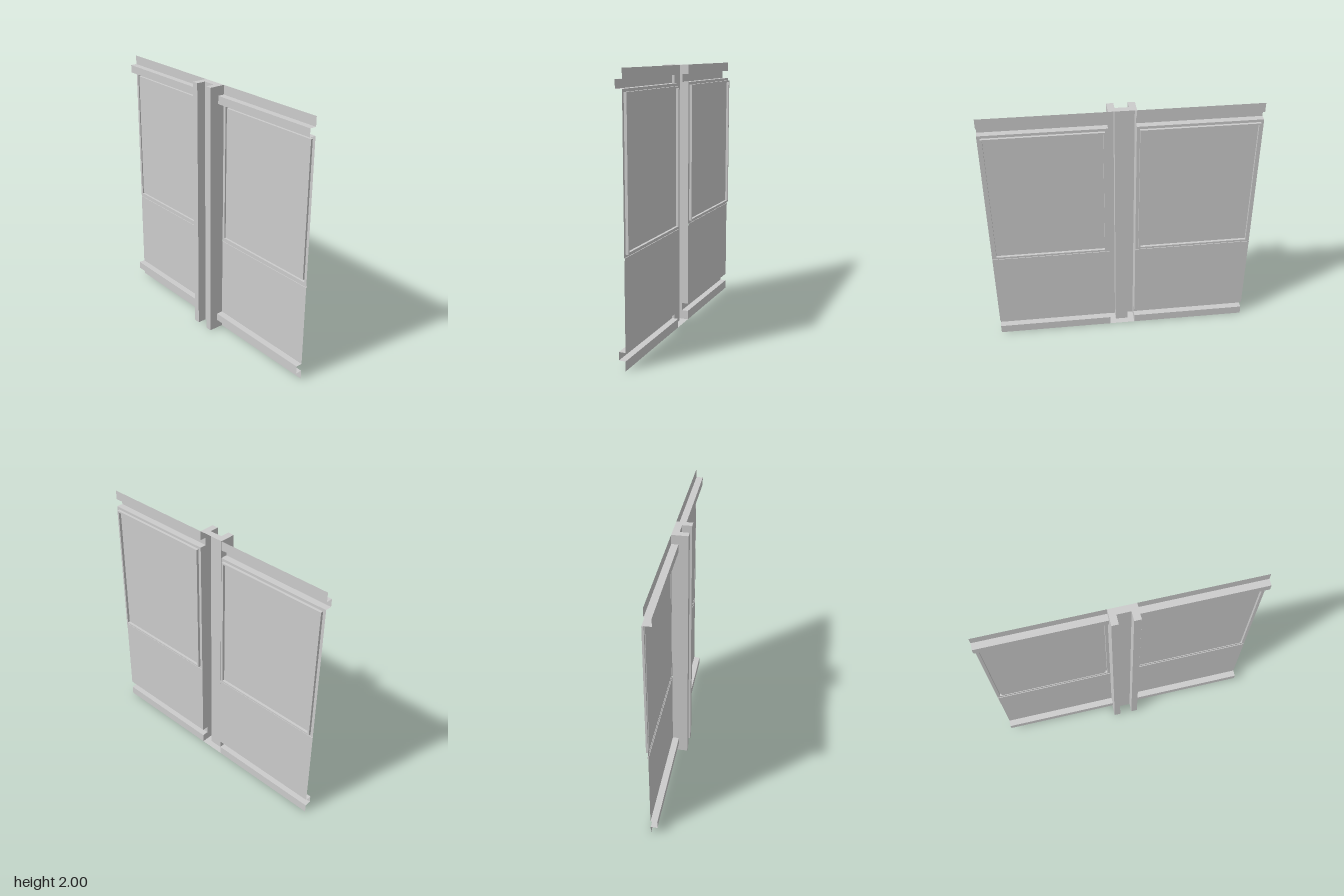
import * as THREE from 'three';

const H = 2, FACE = 0.05, RAIL = 0, BACK = -0.07, FRAME = 0.07;
const material = new THREE.MeshStandardMaterial({ color: 0xcccccc, side: THREE.DoubleSide });

function add(group, name, geometry) {
  const mesh = new THREE.Mesh(geometry, material);
  mesh.name = name;
  group.add(mesh);
}

// Folded thin sheet: a polyline swept straight from one end to the other
function foldedSheet(line, toStart, toEnd) {
  const pos = [];
  for (let i = 0; i < line.length - 1; i++) {
    const a = toStart(line[i]), b = toEnd(line[i]);
    const c = toEnd(line[i + 1]), d = toStart(line[i + 1]);
    pos.push(...a, ...b, ...c, ...a, ...c, ...d);
  }
  const g = new THREE.BufferGeometry();
  g.setAttribute('position', new THREE.Float32BufferAttribute(pos, 3));
  g.computeVertexNormals();
  return g;
}

const shapeOf = (points) => new THREE.Shape(points.map(([x, y]) => new THREE.Vector2(x, y)));
const rect = ([u0, v0, u1, v1]) => [[u0, v0], [u1, v0], [u1, v1], [u0, v1]];

// Flat sheet facing +x, drawn in (u = -z, v = y), with an optional opening
function flatSheet(x, outer, opening) {
  const shape = shapeOf(rect(outer));
  if (opening) shape.holes.push(shapeOf(rect(opening)));
  return new THREE.ShapeGeometry(shape).rotateY(Math.PI / 2).translate(x, 0, 0);
}

// Walls around a rectangle, running between two depths
function rimWalls(r, x0, x1) {
  const loop = rect(r);
  loop.push(loop[0]);
  return foldedSheet(loop, ([u, v]) => [x0, v, -u], ([u, v]) => [x1, v, -u]);
}

// One pressed panel between u0 and u1
function createPanel(name, u0, u1) {
  const panel = new THREE.Group();
  panel.name = name;
  const sweep = (line) => foldedSheet(line, ([x, y]) => [x, y, -u0], ([x, y]) => [x, y, -u1]);

  // Top and bottom channels pressed towards the back
  add(panel, 'topRail', sweep([[FACE, H], [FACE, 1.93], [RAIL, 1.93], [RAIL, 1.87], [FACE, 1.87]]));
  add(panel, 'bottomRail', sweep([[FACE, 0.13], [RAIL, 0.13], [RAIL, 0.07], [FACE, 0.07], [FACE, 0]]));

  // Lower sheet with the thin bead across its top
  add(panel, 'lowerSheet', sweep([[FACE, 0.78], [0.055, 0.78], [0.055, 0.765], [FACE, 0.765], [FACE, 0.13]]));

  // Upper sheet with a hollow raised frame
  const outer = [u0 + 0.022, 0.8, u1 - 0.022, 1.85];
  const inner = [u0 + 0.036, 0.813, u1 - 0.036, 1.837];
  add(panel, 'upperSheet', flatSheet(FACE, [u0, 0.78, u1, 1.87], outer));
  add(panel, 'frameFace', flatSheet(FRAME, outer, inner));
  add(panel, 'frameOuterWalls', rimWalls(outer, FACE, FRAME));
  add(panel, 'frameInnerWalls', rimWalls(inner, FRAME, FACE));
  add(panel, 'framedSheet', flatSheet(FACE, inner));
  return panel;
}

// Hollow post: two folds to the back with a web between them
function createPost() {
  const post = new THREE.Group();
  post.name = 'centrePost';
  const fold = [[BACK, 0.1], [BACK, 0.05], [RAIL, 0.05], [RAIL, -0.05], [BACK, -0.05], [BACK, -0.1]];
  add(post, 'postFold', foldedSheet(fold, ([x, z]) => [x, 0, z], ([x, z]) => [x, H, z]));

  // Side walls, notched where the rail channels run in
  const side = [
    [BACK, 0], [FACE, 0], [FACE, 0.07], [RAIL, 0.07], [RAIL, 0.13], [FACE, 0.13],
    [FACE, 1.87], [RAIL, 1.87], [RAIL, 1.93], [FACE, 1.93], [FACE, H], [BACK, H],
  ];
  for (const z of [-0.1, 0.1]) {
    add(post, 'postSideWall', new THREE.ShapeGeometry(shapeOf(side)).translate(0, 0, z));
  }

  // End caps
  const cap = shapeOf([[FACE, 0.1], ...fold, [FACE, -0.1]]);
  add(post, 'postTopCap', new THREE.ShapeGeometry(cap).rotateX(-Math.PI / 2).translate(0, H, 0));
  add(post, 'postBottomCap', new THREE.ShapeGeometry(cap).rotateX(Math.PI / 2));
  return post;
}

export function createModel() {
  const model = new THREE.Group();
  model.name = 'wallPanel';
  model.add(createPanel('frontPanel', -1, -0.1), createPanel('backPanel', 0.1, 1), createPost());
  return model;
}
